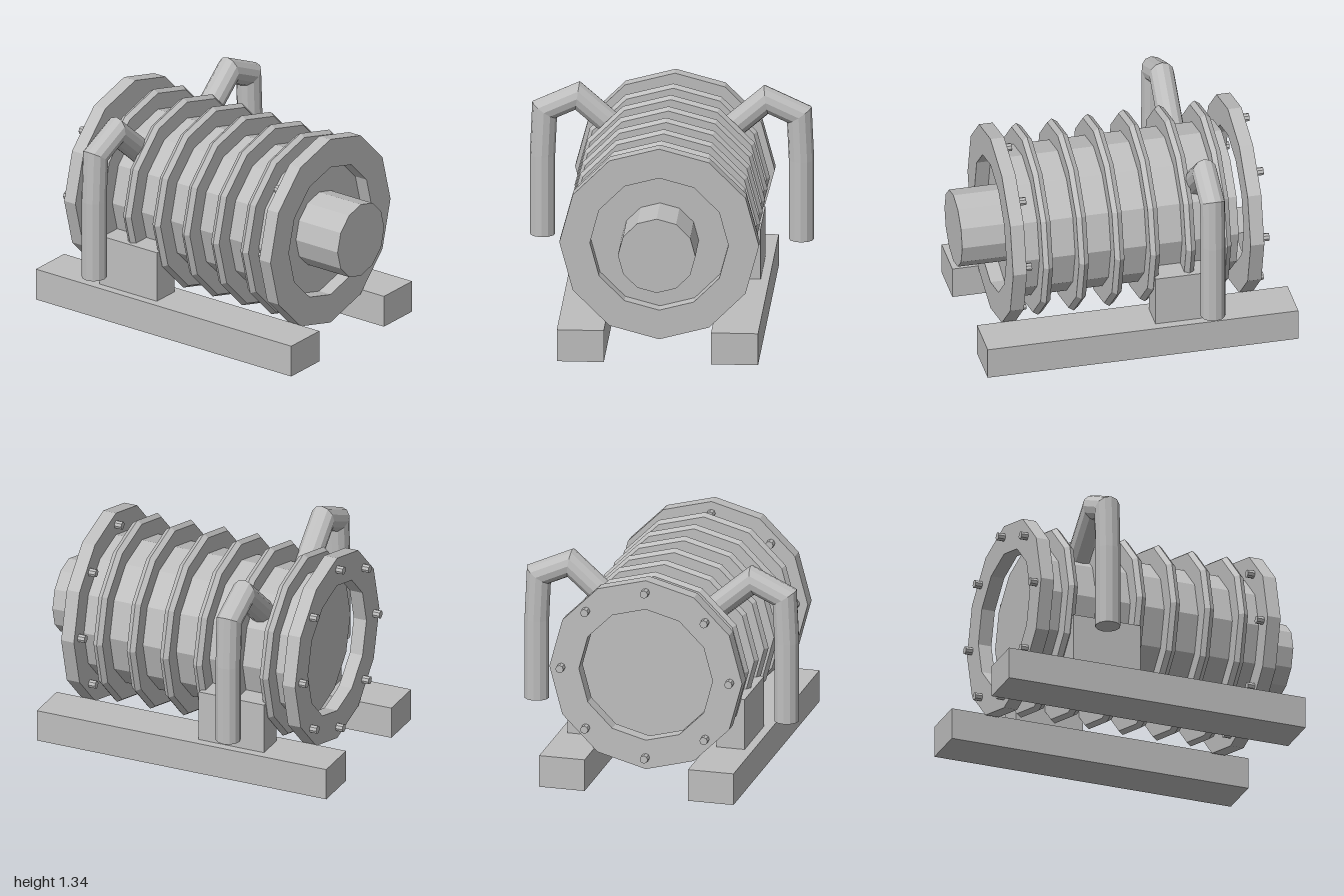
import * as THREE from 'three';

const AXIS_Y = 0.705;
const SIDES = 12;

export function createModel() {
  const model = new THREE.Group();
  model.name = 'finnedTank';
  const grey = new THREE.MeshStandardMaterial({ color: 0xbebebe, flatShading: true });
  grey.name = 'plain grey';

  const add = (name, geometry, x = 0, y = 0, z = 0) => {
    const mesh = new THREE.Mesh(geometry, grey);
    mesh.name = name;
    mesh.position.set(x, y, z);
    model.add(mesh);
  };
  const cylinder = (r, z0, z1, sides = SIDES) =>
    new THREE.CylinderGeometry(r, r, z1 - z0, sides).rotateX(Math.PI / 2).translate(0, 0, (z0 + z1) / 2);
  // Closed [radius, z] profile turned about the tank axis
  const ring = (profile) =>
    new THREE.LatheGeometry([...profile, profile[0]].map(([r, z]) => new THREE.Vector2(r, z)), SIDES)
      .rotateX(Math.PI / 2);
  const box = (x0, x1, y0, y1, z0, z1) =>
    new THREE.BoxGeometry(x1 - x0, y1 - y0, z1 - z0)
      .translate((x0 + x1) / 2, (y0 + y1) / 2, (z0 + z1) / 2);

  // Tank and front outlet
  add('tankBody', cylinder(0.46, -0.665, 0.685), 0, AXIS_Y);
  add('outlet', cylinder(0.235, 0.67, 1.0), 0, AXIS_Y);

  // Bevelled cooling fins
  for (let i = 0; i < 6; i++) {
    add('fin', ring([[0.44, -0.03], [0.565, -0.03], [0.585, 0], [0.565, 0.03], [0.44, 0.03]]),
      0, AXIS_Y, 0.543 - i * 0.2215);
  }

  // Flange rings with bolts on their rear faces
  for (const [label, z0, z1] of [['front', 0.685, 0.77], ['rear', -0.79, -0.705]]) {
    add(label + 'Flange', ring([[0.42, z0], [0.605, z0], [0.605, z1], [0.42, z1]]), 0, AXIS_Y);
    for (let i = 0; i < 8; i++) {
      const a = (i * Math.PI) / 4;
      add(label + 'Bolt', cylinder(0.025, z0 - 0.045, z0 + 0.01, 8),
        0.53 * Math.cos(a), AXIS_Y + 0.53 * Math.sin(a));
    }
  }

  // Rails, support blocks and bent pipes on both sides
  for (const side of [1, -1]) {
    const label = side > 0 ? 'left' : 'right';
    const mirrored = (a, b) => (side > 0 ? [a, b] : [-b, -a]);
    add(label + 'Rail', box(...mirrored(0.325, 0.61), 0, 0.2, -1.0, 0.93));
    add(label + 'Support', box(...mirrored(0.38, 0.557), 0.2, 0.52, -0.56, -0.125));
    const path = [[0.785, 0.365], [0.785, 0.87], [0.772, 1.155], [0.572, 1.247], [0.27, 0.985]];
    add(label + 'Pipe', mitredPipe(path.map(([x, y]) => new THREE.Vector2(side * x, y)), 0.077), 0, 0, -0.428);
  }
  return model;
}

// Pipe with sharp mitred bends along a path in the xy plane
function mitredPipe(path, radius, sides = 12) {
  const positions = [];
  const index = [];
  const last = path.length - 1;
  const direction = (i) => path[i + 1].clone().sub(path[i]).normalize();
  path.forEach((p, i) => {
    const before = direction(Math.max(i - 1, 0));
    const after = direction(Math.min(i, last - 1));
    const t = before.clone().add(after).normalize();
    const stretch = radius / t.dot(after);
    for (let j = 0; j < sides; j++) {
      const a = (j / sides) * Math.PI * 2;
      const c = Math.cos(a) * stretch;
      positions.push(p.x - t.y * c, p.y + t.x * c, Math.sin(a) * radius);
    }
  });
  for (let i = 0; i < last; i++) {
    for (let j = 0; j < sides; j++) {
      const k = (j + 1) % sides;
      const a = i * sides + j, b = i * sides + k;
      index.push(a, b, b + sides, a, b + sides, a + sides);
    }
  }
  // End caps
  const end = last * sides;
  for (let j = 1; j < sides - 1; j++) {
    index.push(0, j + 1, j, end, end + j, end + j + 1);
  }
  const geometry = new THREE.BufferGeometry();
  geometry.setAttribute('position', new THREE.Float32BufferAttribute(positions, 3));
  geometry.setIndex(index);
  const flat = geometry.toNonIndexed();
  flat.computeVertexNormals();
  return flat;
}
